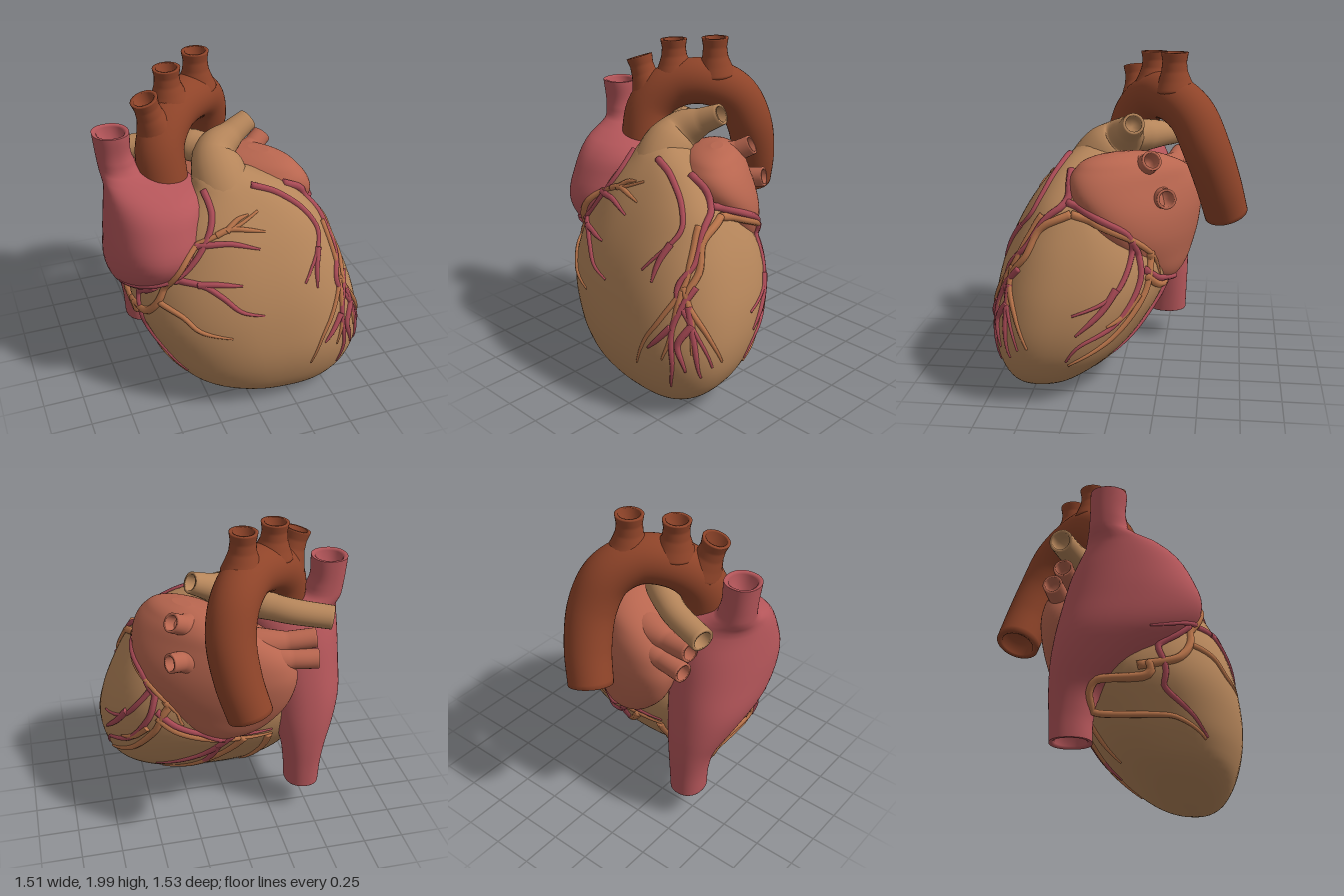
import * as THREE from 'three';

const TAN = 0xb5855a, ROSE = 0xb5565a, SALMON = 0xb8664f, RUST = 0x8f4429, ORANGE = 0xb9744a, PINK = 0xa94a55;

// Smooth skin over closed rings of points
function skin(name, rings, color) {
  const n = rings[0].length, pos = [], idx = [];
  rings.forEach(r => r.forEach(p => pos.push(p.x, p.y, p.z)));
  for (let i = 0; i < rings.length - 1; i++) {
    for (let j = 0; j < n; j++) {
      const a = i * n + j, b = i * n + (j + 1) % n;
      idx.push(a, a + n, b, b, a + n, b + n);
    }
  }
  const g = new THREE.BufferGeometry();
  g.setAttribute('position', new THREE.Float32BufferAttribute(pos, 3));
  g.setIndex(idx);
  g.computeVertexNormals();
  const mesh = new THREE.Mesh(g, new THREE.MeshStandardMaterial({ color }));
  mesh.name = name;
  return mesh;
}

const power = (v, p) => Math.sign(v) * Math.abs(v) ** p;

// Chamber: horizontal sheared, slightly squared ellipses, rows of [y, xMin, xMax, zMin, zMax]
class Chamber {
  constructor(rows, shear, square) {
    this.y0 = rows[0][0];
    this.y1 = rows[rows.length - 1][0];
    this.shear = shear;
    this.square = square;
    this.table = new THREE.CubicInterpolant(rows.map(r => r[0]), rows.flatMap(r =>
      [(r[1] + r[2]) / 2, (r[3] + r[4]) / 2, (r[2] - r[1]) / 2, (r[4] - r[3]) / 2]), 4, new Float32Array(4));
  }
  at(y, t, s = 1) {
    const [cx, cz, rx, rz] = this.table.evaluate(THREE.MathUtils.clamp(y, this.y0, this.y1));
    return new THREE.Vector3(cx + s * rx * power(Math.cos(t), this.square), y,
      cz + s * rz * power(Math.sin(t + this.shear), this.square));
  }
  // Surface point seen from a side, or null when outside the section
  project(side, a, y, clamp) {
    if (!clamp && (y < this.y0 || y > this.y1)) return null;
    y = THREE.MathUtils.clamp(y, this.y0, this.y1);
    const [cx, cz, rx, rz] = this.table.evaluate(y);
    let c = side === 'left' ? (a - cz) / rz : (a - cx) / rx;
    if (Math.abs(c) > 1 && !clamp) return null;
    c = power(THREE.MathUtils.clamp(c, -1, 1), 1 / this.square);
    const t = side === 'left' ? Math.asin(c) - this.shear : side === 'front' ? Math.acos(c) : -Math.acos(c);
    return this.at(y, t);
  }
  mesh(name, color, hollow = false) {
    const { y0, y1 } = this, rows = [], N = 56, M = 72, d = 0.1;
    rows.push(...(hollow ? [[y0 + d, 0], [y0 + d, 0.7], [y0 + 0.01, 0.74], [y0, 0.86]] : [[y0, 0]]));
    for (let i = 0; i <= N; i++) rows.push([y0 + (y1 - y0) * (1 - Math.cos(Math.PI * i / N)) / 2, 1]);
    rows.push(...(hollow ? [[y1, 0.86], [y1 - 0.01, 0.74], [y1 - d, 0.7], [y1 - d, 0]] : [[y1, 0]]));
    return skin(name, rows.map(([y, s]) =>
      Array.from({ length: M }, (_, j) => this.at(y, j / M * Math.PI * 2, s))), color);
  }
}

// Tube with changing radius; hollow gives its far end an open mouth
function vessel(name, points, radii, color, hollow = true, steps = 36, sides = 24) {
  const curve = new THREE.CatmullRomCurve3(points.map(p => p.isVector3 ? p : new THREE.Vector3(...p)));
  const f = curve.computeFrenetFrames(steps), st = [[0, 0]];
  for (let i = 0; i <= steps; i++) st.push([i, 1]);
  const deep = steps - Math.max(1, Math.round(0.08 / curve.getLength() * steps));
  st.push(...(hollow ? [[steps, 0.88], [steps, 0.74], [deep, 0.7], [deep, 0]] : [[steps, 0]]));
  return skin(name, st.map(([i, s]) => {
    const u = i / steps, c = curve.getPointAt(u), k = u * (radii.length - 1);
    const q = Math.min(Math.floor(k), radii.length - 2);
    const r = s * THREE.MathUtils.lerp(radii[q], radii[q + 1], k - q);
    return Array.from({ length: sides }, (_, j) => {
      const a = j / sides * Math.PI * 2;
      return c.clone().addScaledVector(f.normals[i], r * Math.cos(a)).addScaledVector(f.binormals[i], -r * Math.sin(a));
    });
  }), color);
}

export function createModel() {
  const heart = new THREE.Group();
  heart.name = 'heart';

  // Chambers
  const ventricles = new Chamber([
    [0.005, 0.24, 0.36, 0.42, 0.5], [0.025, 0.08, 0.45, 0.32, 0.57], [0.06, -0.1, 0.54, 0.22, 0.63],
    [0.13, -0.3, 0.64, 0.1, 0.685], [0.25, -0.44, 0.72, -0.05, 0.735], [0.4, -0.53, 0.755, -0.17, 0.76],
    [0.6, -0.61, 0.74, -0.28, 0.745], [0.8, -0.59, 0.68, -0.3, 0.7], [1.0, -0.49, 0.59, -0.2, 0.62],
    [1.2, -0.35, 0.465, 0, 0.5], [1.35, -0.23, 0.29, 0.03, 0.37], [1.42, -0.19, 0.12, 0.05, 0.28],
    [1.46, -0.12, 0.04, 0.1, 0.2]], 0.18, 0.84);
  const rightAtrium = new Chamber([
    [0.2, -0.575, -0.36, -0.375, -0.135], [0.35, -0.585, -0.35, -0.38, -0.13], [0.5, -0.615, -0.33, -0.385, -0.08],
    [0.65, -0.68, -0.28, -0.38, 0.12], [0.8, -0.735, -0.23, -0.36, 0.35], [1.0, -0.745, -0.19, -0.32, 0.49],
    [1.2, -0.735, -0.165, -0.27, 0.44], [1.32, -0.725, -0.165, -0.22, 0.36], [1.375, -0.72, -0.23, -0.19, 0.27],
    [1.42, -0.725, -0.45, -0.17, 0.11], [1.5, -0.735, -0.52, -0.16, 0.06], [1.68, -0.755, -0.54, -0.155, 0.06]],
    0.04, 0.9);
  const leftAtrium = new Chamber([
    [0.62, 0.06, 0.14, -0.32, -0.25], [0.68, -0.11, 0.25, -0.38, -0.17], [0.8, -0.27, 0.4, -0.43, -0.02],
    [0.95, -0.36, 0.51, -0.465, 0.1], [1.1, -0.38, 0.55, -0.47, 0.2], [1.25, -0.3, 0.53, -0.42, 0.28],
    [1.36, -0.08, 0.46, -0.31, 0.25], [1.42, 0.08, 0.38, -0.17, 0.16], [1.44, 0.2, 0.3, -0.06, 0.06]], 0.6, 1);
  heart.add(ventricles.mesh('ventricles', TAN), leftAtrium.mesh('leftAtrium', SALMON),
    rightAtrium.mesh('rightAtriumAndVenaCava', ROSE, true));

  // Aorta with its three arch branches
  heart.add(vessel('aorta', [[-0.34, 1.1, 0.03], [-0.36, 1.35, 0.01], [-0.355, 1.56, -0.04], [-0.25, 1.69, -0.15],
    [-0.09, 1.715, -0.28], [0.02, 1.63, -0.41], [0.065, 1.45, -0.5], [0.04, 1.22, -0.58], [-0.02, 1.01, -0.635]],
    [0.15, 0.15, 0.145, 0.145, 0.145, 0.145, 0.14, 0.135], RUST, true, 64, 36));
  [[[-0.35, 1.6, -0.06], [-0.41, 1.75, -0.04], [-0.445, 1.86, -0.03]],
    [[-0.25, 1.72, -0.16], [-0.265, 1.86, -0.16], [-0.27, 1.975, -0.16]],
    [[-0.04, 1.71, -0.31], [-0.047, 1.87, -0.3], [-0.05, 1.995, -0.3]]].forEach(p =>
    heart.add(vessel('archBranch', p, [0.08, 0.125, 0.1, 0.08, 0.074, 0.083], RUST)));

  // Pulmonary trunk and its two arteries
  heart.add(vessel('pulmonaryTrunk', [[-0.03, 1.18, 0.22], [-0.045, 1.36, 0.13], [-0.03, 1.47, 0.01],
    [0.08, 1.54, -0.04], [0.21, 1.605, -0.08]], [0.2, 0.18, 0.16, 0.12, 0.08, 0.065], TAN));
  heart.add(vessel('rightPulmonaryArtery', [[-0.02, 1.46, 0.02], [-0.12, 1.47, -0.1], [-0.32, 1.45, -0.25],
    [-0.59, 1.41, -0.33]], [0.08, 0.1, 0.08, 0.075, 0.072], TAN));

  // Pulmonary veins on both sides of the left atrium
  [[[0.18, 1.27, -0.08], [0.26, 1.36, -0.15], [0.35, 1.42, -0.2]],
    [[0.18, 1.12, -0.18], [0.29, 1.18, -0.25], [0.38, 1.2, -0.29]],
    [[-0.05, 1.12, -0.25], [-0.27, 1.17, -0.34], [-0.5, 1.17, -0.38]],
    [[0, 1.2, -0.2], [-0.25, 1.25, -0.28], [-0.5, 1.28, -0.32]]].forEach(p =>
    heart.add(vessel('pulmonaryVein', p, [0.15, 0.11, 0.062, 0.06], SALMON)));

  // Surface vessels: drawn flat on one side as (across, up), then laid on the outermost chamber
  const axis = { front: ['z', 1], back: ['z', -1], left: ['x', 1] };
  function lay(side, a, y) {
    const [k, s] = axis[side];
    const hits = [ventricles, rightAtrium, leftAtrium].map(c => c.project(side, a, y)).filter(Boolean);
    if (!hits.length) return ventricles.project(side, a, y, true);
    return hits.reduce((m, p) => (p[k] * s > m[k] * s ? p : m));
  }
  function surfaceVessels(name, color, side, r, paths) {
    paths.forEach(path => {
      const flat = new THREE.SplineCurve(path.map(p => new THREE.Vector2(...p)));
      const pts = flat.getSpacedPoints(18).map(p => lay(side, p.x, p.y));
      heart.add(vessel(name, pts, [r, r * 0.85, r * 0.7, r * 0.3], color, false, 44, 8));
    });
  }
  surfaceVessels('rightCoronaryArtery', ORANGE, 'front', 0.027, [
    [[-0.61, 0.6], [-0.53, 0.75], [-0.45, 0.93], [-0.35, 1.08], [-0.2, 1.17], [-0.06, 1.22], [0.08, 1.28]],
    [[-0.61, 0.62], [-0.57, 0.45], [-0.49, 0.34], [-0.38, 0.25]]]);
  surfaceVessels('coronaryBranch', ORANGE, 'front', 0.02, [
    [[-0.18, 1.18], [-0.1, 1.21], [0, 1.2], [0.1, 1.18]],
    [[-0.12, 1.2], [-0.05, 1.25], [0.02, 1.27]],
    [[-0.52, 0.76], [-0.42, 0.72], [-0.33, 0.64], [-0.16, 0.6]],
    [[0.5, 1.12], [0.54, 0.95], [0.55, 0.8], [0.47, 0.62], [0.4, 0.5], [0.33, 0.32]],
    [[0.55, 0.82], [0.63, 0.65], [0.66, 0.45]],
    [[0.55, 0.8], [0.55, 0.55], [0.51, 0.4]]]);
  surfaceVessels('cardiacVein', PINK, 'front', 0.022, [
    [[-0.19, 1.37], [-0.18, 1.27], [-0.25, 1.13], [-0.4, 0.95], [-0.6, 0.86], [-0.7, 0.8]],
    [[-0.44, 0.92], [-0.3, 0.92], [-0.2, 0.86], [-0.1, 0.77], [0.03, 0.73]],
    [[-0.32, 0.92], [-0.22, 0.93], [-0.08, 0.92]],
    [[-0.3, 1.12], [-0.12, 1.14], [0.05, 1.1]],
    [[-0.54, 0.87], [-0.6, 0.7], [-0.57, 0.5], [-0.45, 0.33], [-0.38, 0.26]],
    [[0.08, 1.39], [0.22, 1.34], [0.36, 1.24], [0.44, 1.12], [0.42, 1.03], [0.36, 0.95], [0.3, 0.87]],
    [[0.42, 1.03], [0.39, 0.93], [0.38, 0.82]],
    [[0.6, 0.82], [0.55, 0.6], [0.57, 0.38], [0.54, 0.22]],
    [[0.6, 0.72], [0.67, 0.48], [0.69, 0.3]],
    [[0.54, 0.6], [0.48, 0.52], [0.42, 0.45]]]);
  surfaceVessels('leftCoronaryArtery', ORANGE, 'left', 0.026, [
    [[0.25, 1.13], [0.1, 1.08], [-0.1, 0.98], [-0.21, 0.86], [-0.25, 0.72]],
    [[0.25, 1.13], [0.42, 1.05], [0.5, 0.9], [0.6, 0.75], [0.55, 0.55], [0.48, 0.38]],
    [[-0.2, 0.88], [-0.17, 0.65], [0, 0.42], [0.25, 0.27]],
    [[-0.14, 0.66], [-0.06, 0.55], [0.03, 0.5]]]);
  surfaceVessels('greatCardiacVein', PINK, 'left', 0.024, [
    [[0.28, 1.34], [0.28, 1.2], [0.4, 1.1], [0.5, 0.95], [0.62, 0.8], [0.61, 0.6], [0.54, 0.36]],
    [[0.28, 1.19], [0.1, 1.12], [-0.08, 1.01], [-0.09, 0.85], [0, 0.68], [0.22, 0.59]],
    [[-0.02, 0.72], [0.06, 0.6], [0.2, 0.47]],
    [[-0.1, 0.98], [-0.15, 0.75], [-0.03, 0.52], [0.18, 0.4], [0.26, 0.3]],
    [[0.61, 0.62], [0.68, 0.5], [0.66, 0.34]]]);
  surfaceVessels('posteriorArtery', ORANGE, 'back', 0.026, [
    [[0.45, 0.75], [0.33, 0.66], [0.1, 0.59], [-0.1, 0.58], [-0.26, 0.58]],
    [[-0.08, 0.59], [0.04, 0.42], [0.2, 0.26], [0.38, 0.13]],
    [[-0.24, 0.58], [-0.22, 0.4], [-0.12, 0.2]]]);
  surfaceVessels('posteriorVein', PINK, 'back', 0.024, [
    [[0.45, 0.79], [0.33, 0.7], [0.1, 0.63], [-0.1, 0.62], [-0.26, 0.62]],
    [[0, 0.62], [0.15, 0.44], [0.3, 0.33], [0.44, 0.25]],
    [[0.08, 0.52], [0.12, 0.36], [0.22, 0.2]]]);
  return heart;
}
